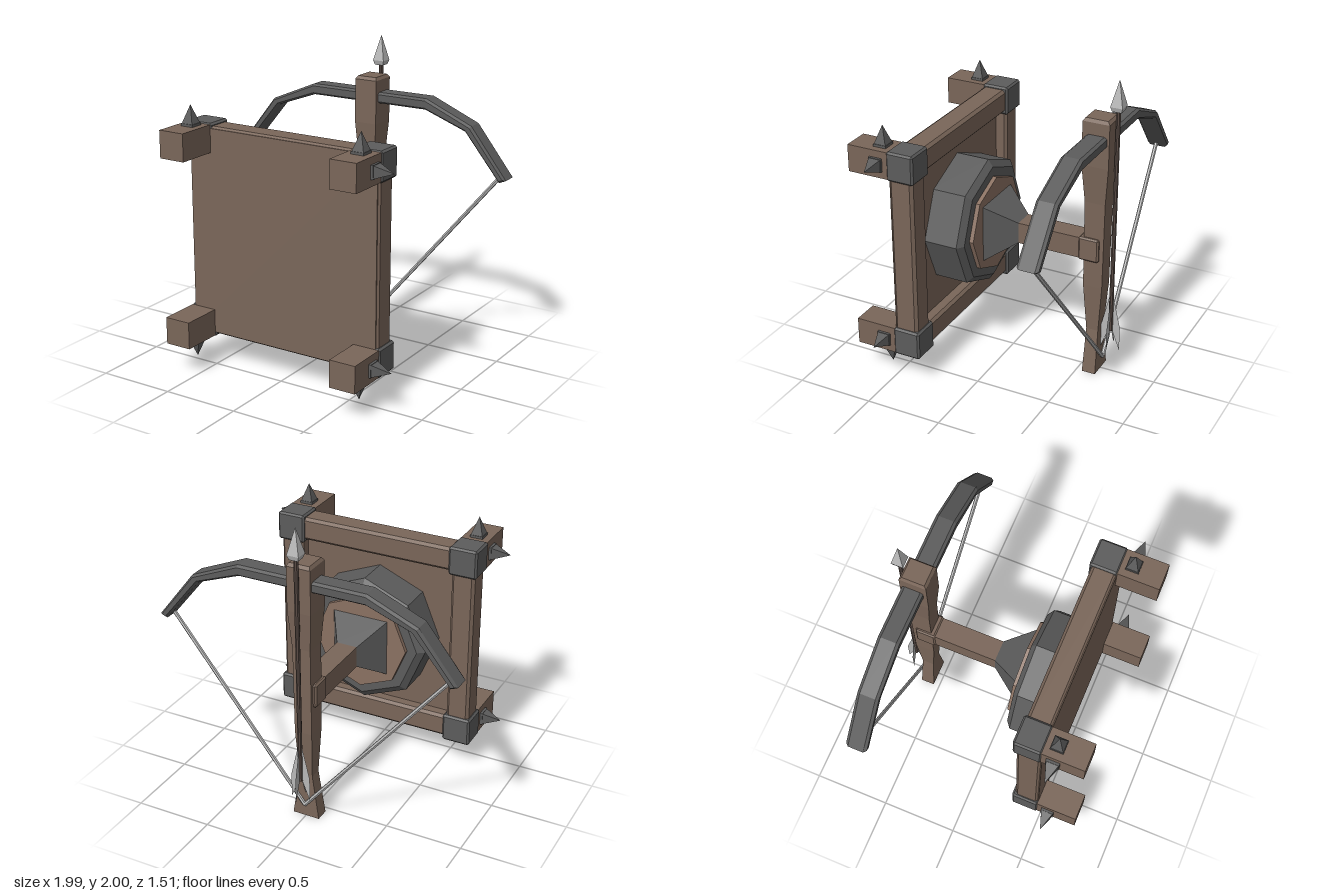
import * as THREE from 'three';
import { ConvexGeometry } from 'three/addons/geometries/ConvexGeometry.js';

const mat = (color, extra = {}) => new THREE.MeshStandardMaterial({ color, flatShading: true, ...extra });
const wood = mat(0x7a6659), paleWood = mat(0x8a7162), darkWood = mat(0x5a4c46);
const iron = mat(0x5c5c5c), steel = mat(0xb8b8b8);
const feather = mat(0xb8b8b8, { side: THREE.DoubleSide });

export function createModel() {
  const model = new THREE.Group();

  const add = (name, geometry, material, x = 0, y = 0, z = 0, parent = model) => {
    const mesh = new THREE.Mesh(geometry, material);
    mesh.name = name;
    mesh.position.set(x, y, z);
    parent.add(mesh);
    return mesh;
  };

  // Box with every edge cut by c
  const chamferBox = (w, h, d, c) => {
    const pts = [];
    for (const sx of [-1, 1]) for (const sy of [-1, 1]) for (const sz of [-1, 1])
      for (let full = 0; full < 3; full++) {
        const inset = (size, axis) => size / 2 - (axis === full ? 0 : c);
        pts.push(new THREE.Vector3(sx * inset(w, 0), sy * inset(h, 1), sz * inset(d, 2)));
      }
    return new ConvexGeometry(pts);
  };

  // Straight round bar between two points
  const bar = (name, a, b, radius, material, sides = 6) => {
    const mesh = add(name, new THREE.CylinderGeometry(radius, radius, a.distanceTo(b), sides), material);
    mesh.position.copy(a).add(b).multiplyScalar(0.5);
    mesh.quaternion.setFromUnitVectors(new THREE.Vector3(0, 1, 0), b.clone().sub(a).normalize());
  };

  // Square base: panel and surrounding beams
  const cy = 0.88;
  add('basePanel', new THREE.BoxGeometry(1.34, 1.34, 0.085), wood, 0, cy, 0.4425);
  for (const s of [-1, 1]) {
    add('sideBeam', chamferBox(0.155, 1.2, 0.16, 0.018), wood, s * 0.605, cy, 0.404);
    add('crossBeam', chamferBox(1.2, 0.155, 0.16, 0.018), wood, 0, cy + s * 0.605, 0.404);
  }

  // Corner caps, feet and spikes
  const spike = (parent, angle) => {
    const g = new THREE.Group();
    g.name = 'spike';
    add('spikePlate', new THREE.BoxGeometry(0.085, 0.016, 0.085), iron, 0, 0.096, 0, g);
    add('spikePoint', new THREE.ConeGeometry(0.055, 0.115, 4).rotateY(Math.PI / 4), iron, 0, 0.1615, 0, g);
    g.rotation.z = angle;
    g.position.z = 0.56;
    parent.add(g);
  };
  for (const sx of [-1, 1]) for (const sy of [-1, 1]) {
    const corner = new THREE.Group();
    corner.name = 'corner';
    corner.position.set(sx * 0.605, cy + sy * 0.605, 0);
    add('cornerCap', chamferBox(0.19, 0.19, 0.182, 0.012), iron, 0, 0, 0.398, corner);
    add('foot', new THREE.BoxGeometry(0.176, 0.176, 0.28), wood, 0, 0, 0.615, corner);
    spike(corner, sy > 0 ? 0 : Math.PI);
    spike(corner, -sx * Math.PI / 2);
    model.add(corner);
  }

  // Octagonal hub, plate and tapered socket
  const hubProfile = [[0.43, -0.41], [0.43, -0.178], [0.385, -0.145], [0.3, -0.145]];
  add('hub', new THREE.LatheGeometry(hubProfile.map(p => new THREE.Vector2(...p)), 8).rotateX(-Math.PI / 2), iron, 0, cy);
  add('hubPlate', new THREE.CylinderGeometry(0.32, 0.32, 0.04, 8).rotateX(-Math.PI / 2), paleWood, 0, cy, 0.138);
  add('socket', new THREE.CylinderGeometry(0.07 * Math.SQRT2, 0.19 * Math.SQRT2, 0.19, 4)
    .rotateY(Math.PI / 4).rotateX(-Math.PI / 2), iron, 0, cy, 0.025);

  // Arm and its end collar
  add('arm', new THREE.BoxGeometry(0.14, 0.14, 0.5), wood, 0, cy, -0.3);
  add('armCollar', chamferBox(0.158, 0.158, 0.135, 0.01), wood, 0, cy, -0.553);

  // Stock: sections of [y, half width, front z, back z]
  const sections = [
    [0, 0.09, -0.54, -0.63], [0.3, 0.045, -0.543, -0.623], [0.62, 0.058, -0.518, -0.645],
    [1.2, 0.06, -0.515, -0.65], [1.45, 0.078, -0.495, -0.67], [1.735, 0.078, -0.495, -0.67],
    [1.755, 0.066, -0.51, -0.655]];
  const n = sections.length - 1;
  const stock = new THREE.BoxGeometry(1, 1, 1, 1, n, 1);
  const p = stock.attributes.position;
  for (let i = 0; i < p.count; i++) {
    const [y, half, front, back] = sections[Math.round((p.getY(i) + 0.5) * n)];
    p.setXYZ(i, Math.sign(p.getX(i)) * half, y, p.getZ(i) > 0 ? front : back);
  }
  add('stock', stock, wood);

  // Bow: bent outline, mirrored and extruded with a bevel
  const upper = [[0.42, 1.643], [0.738, 1.508], [0.978, 1.207]];
  const lower = [[0.953, 1.197], [0.712, 1.49], [0.42, 1.597]];
  const flip = pts => pts.map(([x, y]) => [-x, y]).reverse();
  const outline = [...upper, ...lower, ...flip(lower), ...flip(upper)];
  const bow = new THREE.ExtrudeGeometry(new THREE.Shape(outline.map(q => new THREE.Vector2(...q))),
    { depth: 0.1, bevelEnabled: true, bevelThickness: 0.018, bevelSize: 0.013, bevelSegments: 1 });
  add('bow', bow, iron, 0, 0, -0.637);

  // Drawn string
  const nock = new THREE.Vector3(0, 0.09, -0.642);
  for (const s of [-1, 1]) bar('bowString', new THREE.Vector3(s * 0.945, 1.22, -0.583), nock, 0.013, steel);

  // Bolt: shaft, head and four fins
  const bz = -0.69;
  bar('boltShaft', new THREE.Vector3(0, 0.3, bz), new THREE.Vector3(0, 1.81, bz), 0.015, darkWood, 8);
  const head = [[0, 1.8], [0.042, 1.805], [0.055, 1.835], [0, 2]].map(q => new THREE.Vector2(...q));
  add('boltHead', new THREE.LatheGeometry(head, 4).rotateY(Math.PI / 4), steel, 0, 0, bz);
  const fin = new THREE.Shape([[0.008, 0.57], [0.008, 0.31], [0.064, 0.165], [0.064, 0.33]]
    .map(q => new THREE.Vector2(...q)));
  for (let i = 0; i < 4; i++)
    add('boltFin', new THREE.ShapeGeometry(fin), feather, 0, 0, bz).rotation.y = i * Math.PI / 2;

  return model;
}
